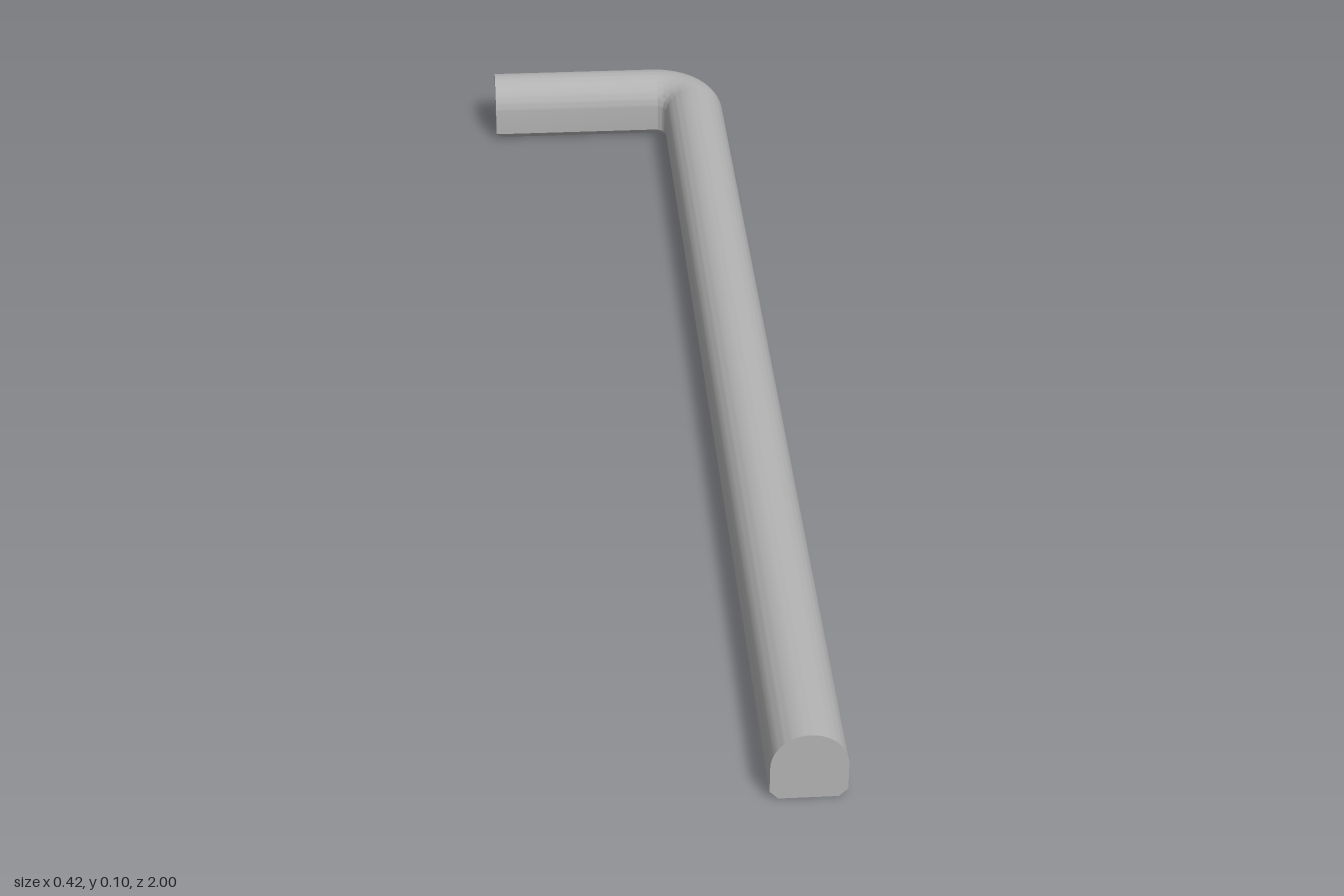
import * as THREE from 'three';
import { toCreasedNormals } from 'three/addons/utils/BufferGeometryUtils.js';

const R = 0.052;        // half width of the bar and radius of its rounded top
const CHAMFER = 0.012;  // bevel along the flat underside
const BEND = 0.073;     // centreline radius of the corner
const HALF_X = 0.208;

// D-shaped section as [outward offset, height], anticlockwise
function barSection() {
  const pts = [[CHAMFER - R, 0], [R - CHAMFER, 0], [R, CHAMFER]];
  for (let i = 0; i <= 28; i++) {
    const a = (i / 28) * Math.PI;
    pts.push([R * Math.cos(a), R + R * Math.sin(a)]);
  }
  pts.push([-R, CHAMFER]);
  return pts;
}

function bentBarGeometry() {
  const section = barSection();
  const n = section.length;
  const cx = HALF_X - R - BEND;
  const cz = -1 + R + BEND;
  const rings = [];

  // Long arm end, then the corner, then the short arm end
  rings.push(section.map(([u, y]) => [HALF_X - R + u, y, 1]));
  for (let i = 0; i <= 20; i++) {
    const a = (i / 20) * Math.PI / 2;
    rings.push(section.map(([u, y]) => [
      cx + (BEND + u) * Math.cos(a), y, cz - (BEND + u) * Math.sin(a),
    ]));
  }
  // The lower edge of the short end is bevelled as well
  rings.push(section.map(([u, y]) => [
    -HALF_X + Math.max(0, CHAMFER - y), y, -1 + R - u,
  ]));

  const index = [];
  for (let i = 0; i < rings.length - 1; i++) {
    for (let j = 0; j < n; j++) {
      const k = (j + 1) % n;
      const a = i * n + j, b = i * n + k, c = a + n, d = b + n;
      index.push(a, c, b, b, c, d);
    }
  }

  // End faces: a fan above the bevel and a strip below it
  const cap = (base, flip) => {
    const tri = (a, b, c) => index.push(base + a, base + (flip ? c : b), base + (flip ? b : c));
    for (let j = 3; j < n - 1; j++) tri(2, j, j + 1);
    tri(0, 1, 2);
    tri(0, 2, n - 1);
  };
  cap(0, false);
  cap((rings.length - 1) * n, true);

  const geometry = new THREE.BufferGeometry();
  geometry.setAttribute('position', new THREE.Float32BufferAttribute(rings.flat(2), 3));
  geometry.setIndex(index);
  return toCreasedNormals(geometry, Math.PI / 6);
}

export function createModel() {
  const greyMetal = new THREE.MeshStandardMaterial({ color: 0xb3b3b3 });
  greyMetal.name = 'grey metal';

  const bar = new THREE.Mesh(bentBarGeometry(), greyMetal);
  bar.name = 'bentBar';

  const model = new THREE.Group();
  model.name = 'hookedBar';
  model.add(bar);
  return model;
}
